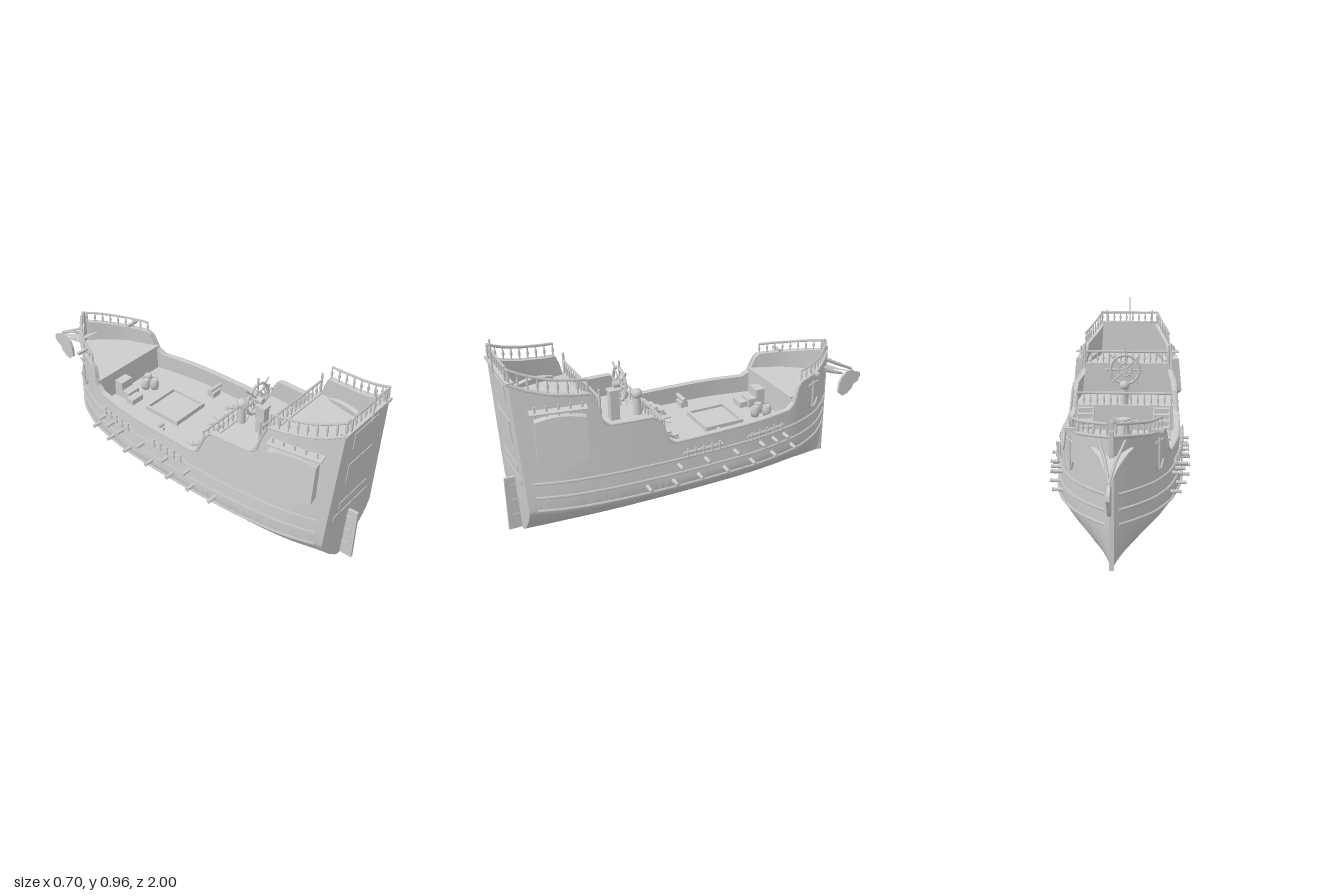
import * as THREE from 'three';

const grey = new THREE.MeshStandardMaterial({ color: 0xcccccc, side: THREE.DoubleSide });
grey.name = 'hullGrey';
const V = (x, y, z) => new THREE.Vector3(x, y, z);

// Piecewise linear lookup in an ascending list of [key, value]
function lerp(list, k) {
  if (k <= list[0][0]) return list[0][1];
  for (let i = 1; i < list.length; i++) {
    const [a, p] = list[i - 1], [b, q] = list[i];
    if (k <= b) return p + (q - p) * (k - a) / (b - a);
  }
  return list[list.length - 1][1];
}

// Half beam along the keel, section shape below the bilge, and height of the sheer
const beam = new THREE.SplineCurve([[-0.76, 0.008], [-0.7, 0.075], [-0.6, 0.16], [-0.5, 0.213], [-0.4, 0.25], [-0.2, 0.288],
  [0, 0.3], [0.25, 0.302], [0.5, 0.292], [0.68, 0.272], [0.8, 0.247], [0.935, 0.2]].map(p => new THREE.Vector2(...p)))
  .getPoints(90).map(p => [p.x, p.y]);
const bilge = [[0, 0.12], [0.02, 0.27], [0.065, 0.53], [0.13, 0.82], [0.17, 0.94], [0.2, 1]];
const sheer = [[-0.76, 0.59], [-0.6, 0.56], [-0.47, 0.55], [-0.45, 0.53], [-0.42, 0.45], [-0.38, 0.425], [0.26, 0.425], [0.29, 0.44],
  [0.33, 0.54], [0.36, 0.57], [0.57, 0.575], [0.6, 0.6], [0.62, 0.68], [0.64, 0.735], [0.7, 0.74], [0.8, 0.757], [0.88, 0.785], [0.935, 0.815]];
const topAt = z => lerp(sheer, z);
function halfX(z, y) {
  const w = lerp(beam, z);
  if (y < 0.2) return w * lerp(bilge, y);
  return w * (1 - 0.25 * (y - 0.2) * THREE.MathUtils.clamp((z + 0.75) / 0.4, 0, 1));
}
// Point on the hull side, with the stern raked aft
const rake = (z, y) => z + 0.05 * y * THREE.MathUtils.clamp((z - 0.6) / 0.33, 0, 1);
const skin = (s, z, y, out = 0) => V(s * Math.max(0.002, halfX(z, y) + out), y, rake(z, y));

const range = (a, b, n) => Array.from({ length: n + 1 }, (_, i) => a + (b - a) * i / n);
const stations = [...new Set([...range(-0.76, 0.935, 56), ...sheer.map(p => p[0])])].sort((a, b) => a - b);

// Surface through rows of points
function sheet(rows) {
  const n = rows[0].length, index = [];
  for (let i = 0; i < rows.length - 1; i++) for (let j = 0; j < n - 1; j++) {
    const a = i * n + j, b = a + n;
    index.push(a, b, a + 1, a + 1, b, b + 1);
  }
  const g = new THREE.BufferGeometry().setFromPoints(rows.flat());
  g.setIndex(index);
  g.computeVertexNormals();
  return g;
}

export function createModel() {
  const ship = new THREE.Group();
  ship.name = 'sailingShip';
  const add = (name, geo, x = 0, y = 0, z = 0) => {
    const m = new THREE.Mesh(geo, grey);
    m.name = name;
    m.position.set(x, y, z);
    ship.add(m);
    return m;
  };
  const box = (name, w, h, d, x, y, z) => add(name, new THREE.BoxGeometry(w, h, d), x, y, z);
  const cyl = (name, r, h, x, y, z, n = 10, r2 = r) => add(name, new THREE.CylinderGeometry(r2, r, h, n), x, y, z);
  const bar = (name, pts, r, sides = 4) => add(name,
    new THREE.TubeGeometry(new THREE.CatmullRomCurve3(pts, false, 'catmullrom', 0), (pts.length - 1) * 2, r, sides));

  // Railing: handrail on turned balusters
  const turned = new THREE.LatheGeometry([[0.004, 0], [0.003, 0.2], [0.007, 0.45], [0.003, 0.75], [0.005, 1]]
    .map(p => new THREE.Vector2(...p)), 6);
  function railing(name, pts, h, n) {
    bar(name + 'Handrail', pts.map(p => V(p.x, p.y + h, p.z)), 0.007);
    const path = new THREE.CatmullRomCurve3(pts, false, 'catmullrom', 0);
    for (let i = 0; i <= n; i++) {
      const p = path.getPointAt(i / n);
      add(name + 'Baluster', turned, p.x, p.y, p.z).scale.y = h;
    }
  }

  // Hull sides, inner bulwarks, gunwales and wales
  const deckAt = z => z < -0.42 ? 0.46 : z < 0.3 ? 0.32 : z < 0.6 ? 0.45 : 0.62;
  for (const s of [-1, 1]) {
    add('hullSide', sheet(stations.map(z => {
      const ys = [0, 0.02, 0.045, 0.065, 0.1, 0.13, 0.17, 0.2, ...range(0.2, topAt(z), 6).slice(1)];
      return [V(0, 0, z), ...ys.map(y => skin(s, z, y))];
    })));
    add('innerBulwark', sheet(stations.map(z => range(Math.min(deckAt(z), topAt(z)), topAt(z), 2).map(y => skin(s, z, y, -0.02)))));
    add('gunwale', sheet(stations.map(z => [-0.024, 0.006].map(o => skin(s, z, topAt(z), o)))));
    bar('gunwaleMoulding', stations.map(z => skin(s, z, topAt(z) - 0.004, 0.001)), 0.007);
    for (const y of [0.2, 0.265, 0.335]) bar('wale', range(-0.745, 0.9, 40).map(z => skin(s, z, y, 0.003)), 0.007);
  }

  // Stern transom with shallow panels
  add('transom', sheet([0, 0.02, 0.04, 0.065, 0.1, 0.13, 0.17, 0.2, 0.5, 0.815].map(y => [skin(-1, 0.935, y), skin(1, 0.935, y)])));
  add('transomInside', sheet([0.62, 0.815].map(y => [-1, 1].map(s => skin(s, 0.915, y, -0.01)))));
  box('transomCap', 0.35, 0.012, 0.035, 0, 0.813, 0.968);
  for (const [w, h, y] of [[0.18, 0.085, 0.735], [0.19, 0.11, 0.555], [0.22, 0.035, 0.377], [0.28, 0.025, 0.317]])
    box('sternPanel', w, h, 0.006, 0, y, 0.935 + 0.05 * y).rotation.x = 0.05;
  box('rudder', 0.014, 0.275, 0.065, 0, 0.1425, 0.965);
  for (const y of [0.08, 0.16, 0.24]) box('rudderHinge', 0.022, 0.01, 0.05, 0, y, 0.95);
  box('stemPost', 0.02, 0.61, 0.02, 0, 0.305, -0.757);

  // Decks and the bulkheads between them
  for (const [name, z0, z1, y] of [['foreDeck', -0.755, -0.42, 0.47], ['mainDeck', -0.42, 0.3, 0.33],
    ['quarterDeck', 0.3, 0.6, 0.46], ['poopDeck', 0.6, 0.93, 0.63]])
    add(name, sheet(range(z0, z1, 16).map(z => [skin(-1, z, y, -0.008), skin(1, z, y, -0.008)])));
  for (const [name, z, y0, y1] of [['foreBulkhead', -0.42, 0.33, 0.47], ['quarterBulkhead', 0.3, 0.33, 0.46], ['poopBulkhead', 0.6, 0.46, 0.63]]) {
    add(name, sheet([y0, y1].map(y => [-1, 1].map(s => V(s * (halfX(z, y) - 0.01), y, z)))));
    box(name + 'Sill', 2 * halfX(z, y1) - 0.04, 0.012, 0.02, 0, y1, z);
  }
  for (const x of [-0.12, 0.12]) box('cabinDoor', 0.06, 0.12, 0.006, x, 0.52, 0.597);

  // Railings
  railing('quarterRail', [V(-0.25, 0.46, 0.3), V(0.25, 0.46, 0.3)], 0.07, 14);
  railing('poopFrontRail', [V(-0.23, 0.63, 0.6), V(0.23, 0.63, 0.6)], 0.07, 14);
  railing('sternRail', [V(-0.165, 0.815, 0.97), V(0.165, 0.815, 0.97)], 0.056, 9);
  for (const s of [-1, 1]) {
    railing('poopSideRail', range(0.645, 0.932, 8).map(z => skin(s, z, topAt(z), -0.008)), 0.062, 8);
    railing('foreRail', range(-0.475, -0.745, 8).map(z => skin(s, z, topAt(z), -0.008)), 0.05, 8);
    cyl('cornerPost', 0.006, 0.12, s * 0.235, 0.68, 0.6, 6);
    box('sternPost', 0.01, 0.075, 0.01, s * 0.134, 0.847, 0.975);
  }
  box('bowPost', 0.015, 0.09, 0.015, 0, 0.605, -0.75);
  cyl('flagStaff', 0.004, 0.16, 0, 0.88, 0.994, 6);

  // Side fittings, mirrored
  const galleryShape = new THREE.Shape();
  galleryShape.moveTo(-0.112, 0.11);
  galleryShape.quadraticCurveTo(0, 0.145, 0.112, 0.11);
  for (const p of [[0.112, -0.075], [0, -0.12], [-0.112, -0.075]]) galleryShape.lineTo(...p);
  const galleryGeo = new THREE.ExtrudeGeometry(galleryShape, { depth: 0.085, bevelEnabled: false, curveSegments: 6 });
  for (const s of [-1, 1]) {
    // Quarter gallery and the pin shelf above
    const gallery = add('quarterGallery', galleryGeo, s * 0.197, 0.53, 0.775);
    gallery.rotation.set(-0.1, s * (Math.PI / 2 - 0.2), 0, 'YXZ');
    box('upperPinShelf', 0.06, 0.008, 0.25, s * 0.24, 0.685, 0.79).rotation.y = -s * 0.18;
    for (const z of range(0.69, 0.89, 4)) cyl('belayingPin', 0.005, 0.05, s * (0.265 - (z - 0.69) * 0.18), 0.69, z, 6);

    // Guns in two rows
    const gun = (z, y) => {
      const r = cyl('gunBarrel', 0.011, 0.065, s * (halfX(z, y) + 0.015), y, z, 8, 0.008);
      r.rotation.z = -s * Math.PI / 2;
      const m = add('gunMuzzle', new THREE.TorusGeometry(0.008, 0.003, 5, 8), s * (halfX(z, y) + 0.045), y, z);
      m.rotation.y = Math.PI / 2;
    };
    for (const z of [0.25, 0.11, -0.05, -0.2, -0.28, -0.35]) gun(z, 0.305);
    for (const z of [0.41, 0.28, 0.15, 0.01, -0.14, -0.27, -0.4]) gun(z, 0.232);

    // Lower pin shelves
    for (const [z0, z1] of [[0.02, 0.23], [-0.34, -0.12]]) {
      bar('lowerPinShelf', range(z0, z1, 4).map(z => skin(s, z, 0.362, 0.012)), 0.01);
      for (const z of range(z0 + 0.02, z1 - 0.02, 4)) cyl('belayingPin', 0.005, 0.045, s * (halfX(z, 0.36) + 0.018), 0.362, z, 6);
    }

    // Stairs to the quarter deck, and deck gun carriages
    for (let i = 0; i < 5; i++) box('stairTread', 0.08, 0.012, 0.036, s * 0.2, 0.355 + i * 0.024, 0.125 + i * 0.038);
    for (const x of [0.16, 0.24]) bar('stairStringer', [V(s * x, 0.335, 0.1), V(s * x, 0.46, 0.3)], 0.007);
    box('gunCarriage', 0.06, 0.03, 0.04, s * 0.215, 0.35, -0.02);
    const breech = cyl('deckGun', 0.012, 0.09, s * 0.225, 0.375, -0.02, 8);
    breech.rotation.z = Math.PI / 2;

    // Cathead and anchor
    box('cathead', 0.07, 0.014, 0.016, s * 0.18, 0.565, -0.57);
    const ax = halfX(-0.555, 0.45) + 0.014;
    bar('anchorShank', [V(s * ax, 0.53, -0.555), V(s * ax, 0.385, -0.555)], 0.005, 6);
    bar('anchorArms', range(-1, 1, 8).map(t => V(s * (ax + t * 0.018), 0.383 + 0.04 * t * t, -0.555 + t * 0.042)), 0.005, 6);
    bar('anchorStock', [V(s * (ax - 0.016), 0.515, -0.592), V(s * (ax + 0.016), 0.515, -0.518)], 0.005, 6);

    // Beak timbers
    bar('upperBeakTimber', [V(s * 0.055, 0.56, -0.72), V(s * 0.02, 0.5, -0.83), V(0, 0.445, -0.94)], 0.007);
    bar('lowerBeakTimber', [V(s * 0.06, 0.5, -0.72), V(s * 0.022, 0.46, -0.8), V(0, 0.43, -0.88)], 0.007);
  }
  add('beakPlatform', sheet([[-0.7, 0.09, 0.525], [-0.76, 0.052, 0.5], [-0.82, 0.03, 0.475], [-0.88, 0.014, 0.45], [-0.95, 0.003, 0.43]]
    .map(([z, w, y]) => [V(-w, y, z), V(w, y, z)])));
  // Flat carved ornament under the beak
  const carving = new THREE.Shape([[0.86, 0.32], [0.865, 0.375], [0.88, 0.41], [0.91, 0.435], [0.945, 0.44], [0.965, 0.425], [0.995, 0.415],
    [1, 0.395], [0.985, 0.365], [0.96, 0.355], [0.945, 0.325], [0.92, 0.305], [0.89, 0.295]].map(p => new THREE.Vector2(...p)));
  add('beakOrnament', new THREE.ExtrudeGeometry(carving, { depth: 0.014, bevelEnabled: false }), -0.007).rotation.y = Math.PI / 2;

  // Steering wheel
  const wheel = add('wheelRim', new THREE.TorusGeometry(0.078, 0.007, 6, 24), 0, 0.635, 0.41);
  add('wheelInnerRim', new THREE.TorusGeometry(0.035, 0.005, 6, 16), 0, wheel.position.y, 0.41);
  for (let i = 0; i < 8; i++) {
    const a = i * Math.PI / 4;
    bar('wheelSpoke', [V(0, 0.635, 0.41), V(0.113 * Math.sin(a), 0.635 + 0.113 * Math.cos(a), 0.41)], 0.005, 6);
  }
  cyl('wheelHub', 0.016, 0.05, 0, 0.635, 0.42).rotation.x = Math.PI / 2;
  box('wheelPedestal', 0.04, 0.15, 0.045, 0, 0.535, 0.445);
  box('pedestalTop', 0.05, 0.012, 0.055, 0, 0.608, 0.445);

  // Binnacle
  cyl('binnacleStand', 0.022, 0.09, 0, 0.505, 0.325, 12, 0.016);
  add('binnacleGlobe', new THREE.SphereGeometry(0.026, 14, 10), 0, 0.566, 0.325);

  // Capstan
  cyl('capstanDrum', 0.038, 0.06, 0, 0.36, 0.225, 12, 0.026);
  cyl('capstanHead', 0.034, 0.022, 0, 0.4, 0.225, 12);
  for (let i = 0; i < 8; i++) {
    const a = i * Math.PI / 4;
    bar('capstanBar', [V(0, 0.4, 0.225), V(0.075 * Math.sin(a), 0.4, 0.225 + 0.075 * Math.cos(a))], 0.005, 6);
  }

  // Cargo hatch, barrels and crates
  box('hatchCover', 0.19, 0.012, 0.18, 0, 0.336, -0.1);
  for (const s of [-1, 1]) {
    box('hatchSideCoaming', 0.012, 0.025, 0.2, s * 0.1, 0.342, -0.1);
    box('hatchEndCoaming', 0.212, 0.025, 0.012, 0, 0.342, -0.1 + s * 0.1);
  }
  const barrelGeo = new THREE.LatheGeometry([[0, 0], [0.019, 0], [0.025, 0.028], [0.019, 0.056], [0.017, 0.052], [0, 0.052]]
    .map(p => new THREE.Vector2(...p)), 14);
  for (const [x, z] of [[0.03, -0.335], [0.075, -0.36], [0.06, -0.3]]) add('barrel', barrelGeo, x, 0.33, z);
  box('foreStep', 0.075, 0.09, 0.05, -0.075, 0.375, -0.39);
  box('foreLowerStep', 0.075, 0.045, 0.05, -0.075, 0.3525, -0.345);
  box('crate', 0.075, 0.03, 0.045, -0.09, 0.345, -0.3);
  return ship;
}
